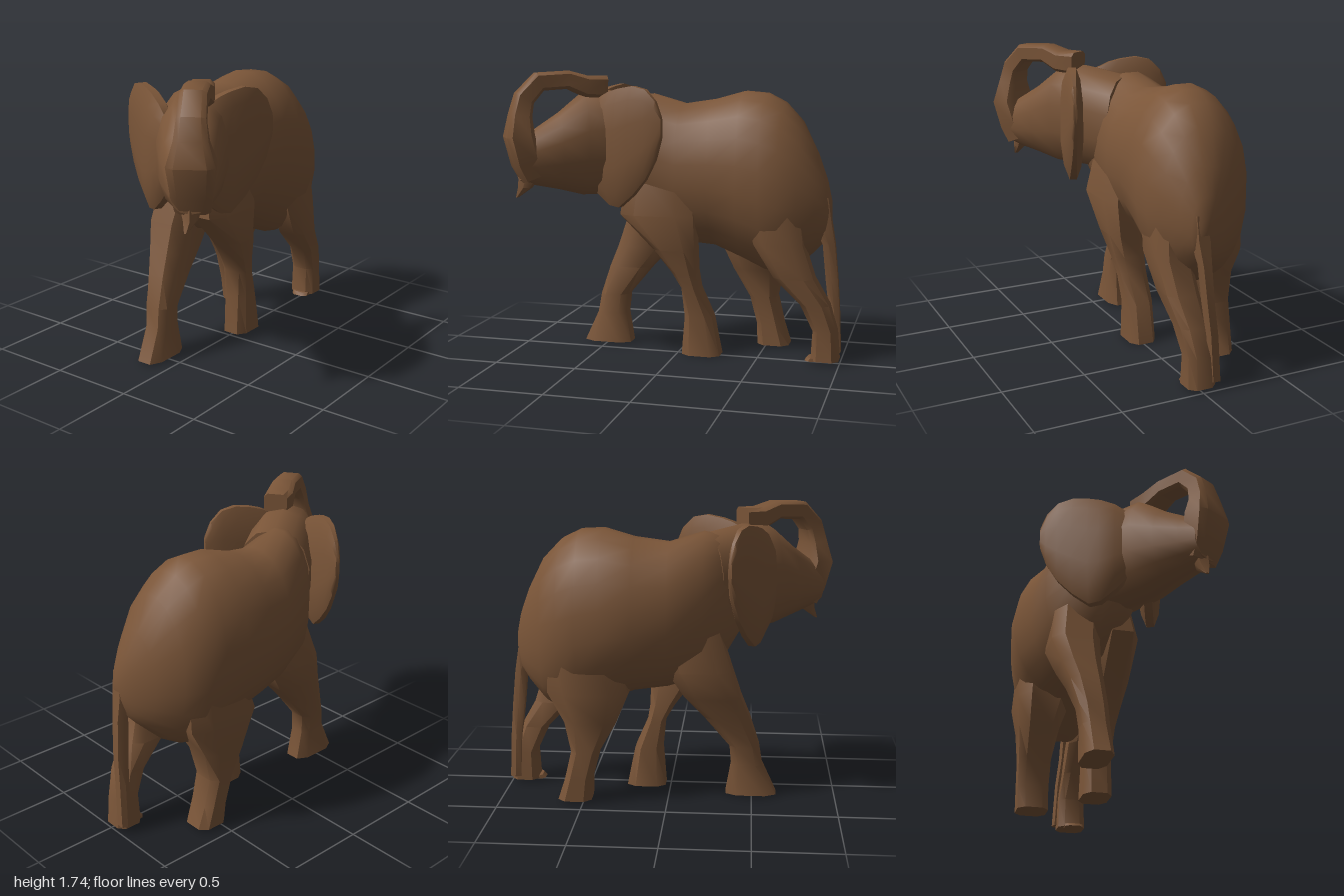
import * as THREE from 'three';
import { toCreasedNormals } from 'three/addons/utils/BufferGeometryUtils.js';

const V = (x, y, z) => new THREE.Vector3(x, y, z);

// Skin a row of rounded sections { c: centre, a, b: half axes }, closed at both ends
function loft(sections, sides, crease, power = 1) {
  const pos = [], idx = [];
  const bend = (v) => Math.sign(v) * Math.pow(Math.abs(v), power);
  for (const { c, a, b } of sections) {
    for (let i = 0; i < sides; i++) {
      const t = ((i + 0.5) / sides) * Math.PI * 2;
      const p = c.clone().addScaledVector(a, bend(Math.cos(t))).addScaledVector(b, bend(Math.sin(t)));
      pos.push(p.x, p.y, p.z);
    }
  }
  const last = sections.length - 1;
  for (let s = 0; s < last; s++) {
    for (let i = 0; i < sides; i++) {
      const j = (i + 1) % sides, p = s * sides, q = p + sides;
      idx.push(p + i, p + j, q + j, p + i, q + j, q + i);
    }
  }
  const capA = pos.length / 3, capB = capA + 1;
  pos.push(...sections[0].c.toArray(), ...sections[last].c.toArray());
  for (let i = 0; i < sides; i++) {
    const j = (i + 1) % sides;
    idx.push(capA, j, i, capB, last * sides + i, last * sides + j);
  }
  // Turn the skin outward if its signed volume is negative
  const at = (i) => V(pos[i * 3], pos[i * 3 + 1], pos[i * 3 + 2]);
  let volume = 0;
  for (let i = 0; i < idx.length; i += 3) volume += at(idx[i]).dot(at(idx[i + 1]).cross(at(idx[i + 2])));
  if (volume < 0) idx.reverse();
  const geo = new THREE.BufferGeometry();
  geo.setAttribute('position', new THREE.Float32BufferAttribute(pos, 3));
  geo.setIndex(idx);
  return toCreasedNormals(geo, crease);
}

export function createModel() {
  const model = new THREE.Group();
  model.name = 'elephant';
  const hide = new THREE.MeshStandardMaterial({ color: 0x7a5538 });
  hide.name = 'brown hide';
  const add = (name, geo) => {
    const mesh = new THREE.Mesh(geo, hide);
    mesh.name = name;
    model.add(mesh);
    return mesh;
  };

  // Body: x, top, bottom, far side z, near side z
  const body = [
    [-0.42, 1.5, 1.0, -0.16, 0.12], [-0.34, 1.56, 0.87, -0.27, 0.14],
    [-0.2, 1.6, 0.74, -0.4, 0.12], [0, 1.54, 0.68, -0.46, 0.13],
    [0.2, 1.57, 0.66, -0.525, 0.14], [0.38, 1.62, 0.59, -0.52, 0.17],
    [0.52, 1.61, 0.53, -0.495, 0.19], [0.63, 1.555, 0.51, -0.47, 0.18],
    [0.74, 1.44, 0.57, -0.4, 0.145], [0.84, 1.25, 0.67, -0.27, 0.085],
    [0.9, 1.1, 0.74, -0.16, 0.04], [0.93, 0.98, 0.84, -0.08, 0.0],
  ];
  add('body', loft(body.map(([x, top, bot, z0, z1]) => ({
    c: V(x, (top + bot) / 2, (z0 + z1) / 2), a: V(0, 0, (z1 - z0) / 2), b: V(0, (top - bot) / 2, 0),
  })), 20, 1.2, 0.97));

  // Head, turned to the near side: x, z, top, bottom, half width
  const across = V(0.55, 0, 0.835);
  const head = [
    [-0.2, -0.1, 1.58, 0.98, 0.22], [-0.42, 0.06, 1.62, 0.99, 0.21],
    [-0.56, 0.15, 1.61, 0.99, 0.195], [-0.68, 0.24, 1.49, 1.03, 0.17],
    [-0.79, 0.33, 1.4, 1.06, 0.135], [-0.87, 0.39, 1.34, 1.09, 0.11],
  ];
  add('head', loft(head.map(([x, z, top, bot, w]) => ({
    c: V(x, (top + bot) / 2, z), a: across.clone().multiplyScalar(w), b: V(0, (top - bot) / 2, 0),
  })), 14, 1.0, 0.85));

  // Trunk, curled up and back to the forehead: distance forward, height, half depth, half width
  const trunk = [
    [0.45, 1.11, 0.07, 0.1], [0.485, 1.2, 0.085, 0.115], [0.525, 1.36, 0.085, 0.135],
    [0.515, 1.48, 0.065, 0.095], [0.49, 1.58, 0.06, 0.08], [0.4, 1.675, 0.058, 0.075],
    [0.23, 1.685, 0.055, 0.075], [0.12, 1.645, 0.065, 0.085], [0.0, 1.64, 0.07, 0.075],
  ];
  const trunkPoint = ([u, y]) => V(-0.42 - 0.849 * u, y, 0.12 + 0.528 * u);
  const trunkSide = V(0.528, 0, 0.849);
  add('trunk', loft(trunk.map((s, i) => {
    const along = trunkPoint(trunk[Math.min(i + 1, trunk.length - 1)])
      .sub(trunkPoint(trunk[Math.max(i - 1, 0)])).normalize();
    return {
      c: trunkPoint(s), a: trunkSide.clone().multiplyScalar(s[3]),
      b: trunkSide.clone().cross(along).normalize().multiplyScalar(s[2]),
    };
  }), 8, 0.7, 0.45));

  // Upright limbs: y, back x, front x, centre z, half width z
  const limb = (name, rows, sides = 8) => add(name, loft(rows.map(([y, x0, x1, z, w]) => ({
    c: V((x0 + x1) / 2, y, z), a: V((x1 - x0) / 2, 0, 0), b: V(0, 0, w),
  })), sides, 0.75, 0.65));
  limb('farFrontLeg', [
    [0.01, -0.655, -0.335, -0.155, 0.085], [0.2, -0.565, -0.37, -0.16, 0.08], [0.32, -0.545, -0.36, -0.17, 0.085],
    [0.5, -0.49, -0.21, -0.19, 0.1], [0.63, -0.44, -0.09, -0.21, 0.12], [0.8, -0.385, 0.02, -0.23, 0.15],
    [1.05, -0.3, 0.05, -0.2, 0.15],
  ]);
  limb('nearFrontLeg', [
    [0.0, 0.025, 0.275, -0.015, 0.09], [0.24, 0.045, 0.225, -0.015, 0.085], [0.42, 0.03, 0.145, 0.0, 0.09],
    [0.52, -0.03, 0.13, 0.01, 0.1], [0.66, -0.14, 0.13, 0.03, 0.11], [0.87, -0.35, 0.13, 0.04, 0.12],
    [1.1, -0.32, 0.1, 0.0, 0.11],
  ]);
  limb('farHindLeg', [
    [0.015, 0.445, 0.655, -0.325, 0.1], [0.15, 0.44, 0.61, -0.33, 0.1], [0.32, 0.395, 0.57, -0.33, 0.105],
    [0.5, 0.29, 0.61, -0.32, 0.13], [0.68, 0.21, 0.71, -0.3, 0.175], [0.98, 0.3, 0.7, -0.27, 0.18],
  ]);
  limb('nearHindLeg', [
    [0.02, 0.825, 1.0, -0.01, 0.09], [0.2, 0.835, 0.985, -0.01, 0.085], [0.36, 0.76, 0.94, 0.01, 0.09],
    [0.52, 0.6, 0.85, 0.025, 0.105], [0.72, 0.48, 0.79, 0.05, 0.11], [0.98, 0.42, 0.76, 0.04, 0.11],
  ]);
  limb('nearHindToe', [[0.015, 0.79, 0.9, 0.0, 0.06], [0.035, 0.81, 0.9, 0.0, 0.06]]);
  limb('tail', [
    [0.05, 0.93, 1.0, -0.085, 0.035], [0.32, 0.92, 0.99, -0.07, 0.035], [0.5, 0.9, 0.98, -0.05, 0.035],
    [0.72, 0.88, 0.96, -0.035, 0.04], [0.86, 0.8, 0.94, -0.025, 0.055], [1.0, 0.82, 0.92, -0.01, 0.04],
  ], 6);

  // Ears: flaps swept back from the head; distance back, top, bottom, half thickness
  const earRows = [
    [-0.1, 1.5, 1.1, 0.05], [-0.01, 1.58, 1.0, 0.075], [0.08, 1.625, 0.93, 0.075], [0.15, 1.645, 0.92, 0.07],
    [0.25, 1.66, 1.0, 0.06], [0.34, 1.64, 1.1, 0.045], [0.41, 1.57, 1.22, 0.03], [0.45, 1.48, 1.34, 0.012],
  ];
  const ear = (name, x, z, turn) => {
    const mesh = add(name, loft(earRows.map(([u, top, bot, w]) => ({
      c: V(u, (top + bot) / 2, 0), a: V(0, 0, w), b: V(0, (top - bot) / 2, 0),
    })), 12, 0.9, 0.85));
    mesh.position.set(x, 0, z);
    mesh.rotation.y = turn;
  };
  ear('nearEar', -0.44, 0.165, -0.34);
  ear('farEar', -0.55, -0.06, 1.13);

  // Tusk at the mouth
  limb('tusk', [
    [0.99, -0.9, -0.885, 0.375, 0.01], [1.05, -0.885, -0.8, 0.37, 0.035], [1.15, -0.88, -0.74, 0.35, 0.06],
  ], 6);
  return model;
}
